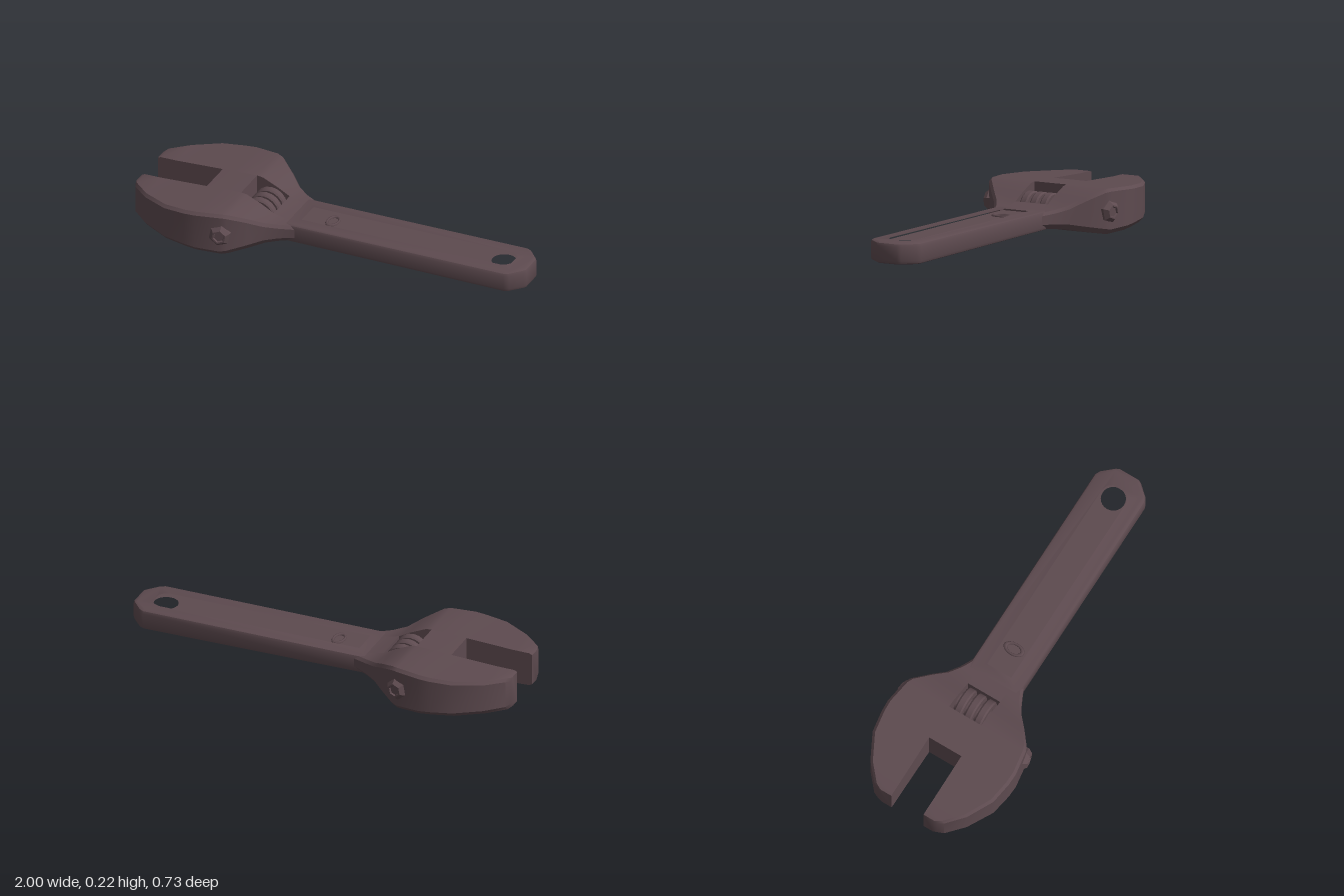
import * as THREE from 'three';
import { toCreasedNormals } from 'three/addons/utils/BufferGeometryUtils.js';

// Head stations along the length: x, outer half width, bottom, top
const STATIONS = [
  [-1, 0.165, 0.036, 0.193], [-0.985, 0.195, 0.028, 0.2], [-0.9, 0.27, 0.025, 0.201],
  [-0.77, 0.338, 0.018, 0.207], [-0.66, 0.355, 0.01, 0.212], [-0.6, 0.357, 0.005, 0.216],
  [-0.48, 0.338, 0, 0.22], [-0.45, 0.325, 0.005, 0.216], [-0.37, 0.262, 0.022, 0.18],
  [-0.31, 0.21, 0.036, 0.147], [-0.25, 0.173, 0.042, 0.133], [-0.2, 0.149, 0.045, 0.128],
  [-0.17, 0.137, 0.046, 0.126],
];
const INNER = 0.09;

// Skin over convex rings of [x, y, z], each counter-clockwise seen from +x
function loft(rings) {
  const n = rings[0].length;
  const index = [];
  for (let i = 0; i < rings.length - 1; i++) {
    for (let j = 0; j < n; j++) {
      const k = (j + 1) % n;
      const a = i * n + j, b = i * n + k, c = a + n, d = b + n;
      index.push(a, b, c, b, d, c);
    }
  }
  const last = (rings.length - 1) * n;
  for (let j = 1; j < n - 1; j++) {
    index.push(0, j + 1, j, last, last + j, last + j + 1);
  }
  const geo = new THREE.BufferGeometry();
  geo.setAttribute('position', new THREE.Float32BufferAttribute(rings.flat(2), 3));
  geo.setIndex(index);
  return toCreasedNormals(geo, 0.55);
}

// One side of the head, with chamfered outer edges
function headSide(side) {
  return loft(STATIONS.map(([x, w, bottom, top]) => {
    const c = 0.014, d = 0.024;
    const ring = [
      [x, top, INNER], [x, top, w - c], [x, top - c, w],
      [x, bottom + d, w], [x, bottom, w - d], [x, bottom, INNER],
    ].map(([px, py, pz]) => [px, py, pz * side]);
    return side > 0 ? ring : ring.reverse();
  }));
}

// Middle block between the two sides
function headMiddle(from, to) {
  return loft(STATIONS.filter(([x]) => x >= from && x <= to).map(([x, , bottom, top]) => [
    [x, top, -INNER], [x, top, INNER], [x, bottom, INNER], [x, bottom, -INNER],
  ]));
}

// Shape symmetric about the long axis, from its upper half outline
function mirroredPoints(half) {
  const pts = half.map(([x, z]) => new THREE.Vector2(x, z));
  return pts.concat(pts.slice().reverse().map((p) => new THREE.Vector2(p.x, -p.y)));
}

export function createModel() {
  const group = new THREE.Group();
  const metal = new THREE.MeshStandardMaterial({ color: 0x5d4a4f });
  metal.name = 'dark metal';

  const add = (name, geo, parent = group) => {
    const mesh = new THREE.Mesh(geo, metal);
    mesh.name = name;
    parent.add(mesh);
    return mesh;
  };

  // Head: two jaws joined in front of and behind the adjuster window
  add('leftJaw', headSide(1));
  add('rightJaw', headSide(-1));
  add('jawBridge', headMiddle(-0.66, -0.48));
  add('neck', headMiddle(-0.31, -0.2));

  // Handle frame, slightly thicker towards the free end
  const recess = [[-0.19, 0.07], [-0.178, 0.083], [0.865, 0.083], [0.9, 0.07], [0.924, 0.04]];
  const frame = new THREE.Shape(mirroredPoints([
    [-0.24, 0.14], [0.915, 0.14], [0.94, 0.128], [0.99, 0.072], [1, 0.055],
  ]));
  frame.holes.push(new THREE.Path(mirroredPoints(recess)));
  const bevel = 0.016;
  const frameGeo = new THREE.ExtrudeGeometry(frame, {
    depth: 0.092 - 2 * bevel, bevelSize: bevel, bevelThickness: bevel,
    bevelOffset: -bevel, bevelSegments: 2, curveSegments: 8,
  });
  frameGeo.rotateX(-Math.PI / 2).translate(0, bevel - 0.046, 0);
  const pos = frameGeo.attributes.position;
  for (let i = 0; i < pos.count; i++) {
    const t = (pos.getX(i) + 0.24) / 1.24;
    pos.setY(i, 0.086 - 0.002 * t + pos.getY(i) * (1 + 0.13 * t));
  }
  add('handleFrame', toCreasedNormals(frameGeo, 0.7));

  // Recessed web with the hanging hole
  const web = new THREE.Shape(mirroredPoints(recess.map(([x, z]) => [x + Math.sign(x) * 0.012, z + 0.012])));
  web.holes.push(new THREE.Path().absarc(0.855, 0, 0.06, 0, Math.PI * 2, true));
  const webGeo = new THREE.ExtrudeGeometry(web, { depth: 0.06, bevelEnabled: false, curveSegments: 12 });
  webGeo.rotateX(-Math.PI / 2).translate(0, 0.06, 0);
  add('handleWeb', toCreasedNormals(webGeo, 0.6));

  // Small raised oval on the web
  const boss = add('raisedOval', new THREE.TorusGeometry(0.032, 0.008, 6, 14));
  boss.rotation.x = -Math.PI / 2;
  boss.scale.set(0.85, 1.4, 1);
  boss.position.set(-0.04, 0.121, 0);

  // Ribbed adjuster wheel in the window
  const wheel = new THREE.Group();
  wheel.name = 'adjusterWheel';
  wheel.position.set(-0.395, 0.105, 0);
  wheel.rotation.x = Math.PI / 2;
  group.add(wheel);
  add('wheelCore', new THREE.CylinderGeometry(0.045, 0.045, 0.19, 16), wheel);
  const rib = new THREE.LatheGeometry([
    [0.04, -0.021], [0.078, -0.021], [0.084, -0.013], [0.084, 0.013], [0.078, 0.021], [0.04, 0.021],
  ].map(([r, y]) => new THREE.Vector2(r, y)), 18);
  const ribGeo = toCreasedNormals(rib, 0.6);
  for (const z of [-0.055, 0, 0.055]) {
    add('wheelRib', ribGeo, wheel).position.y = z;
  }

  // Six-sided bolts on both flanks, tilted with the surface
  const boltGeo = toCreasedNormals(new THREE.LatheGeometry([
    [0, -0.04], [0.055, -0.04], [0.055, 0.008], [0.036, 0.03], [0.028, 0.03], [0.024, 0.022], [0, 0.022],
  ].map(([r, y]) => new THREE.Vector2(r, y)), 6), 0.2);
  for (const side of [-1, 1]) {
    const bolt = add(side > 0 ? 'leftBolt' : 'rightBolt', boltGeo);
    bolt.position.set(-0.482, 0.11, side * 0.328);
    bolt.quaternion.setFromUnitVectors(
      new THREE.Vector3(0, 1, 0), new THREE.Vector3(0.2, 0, side).normalize());
  }

  return group;
}
